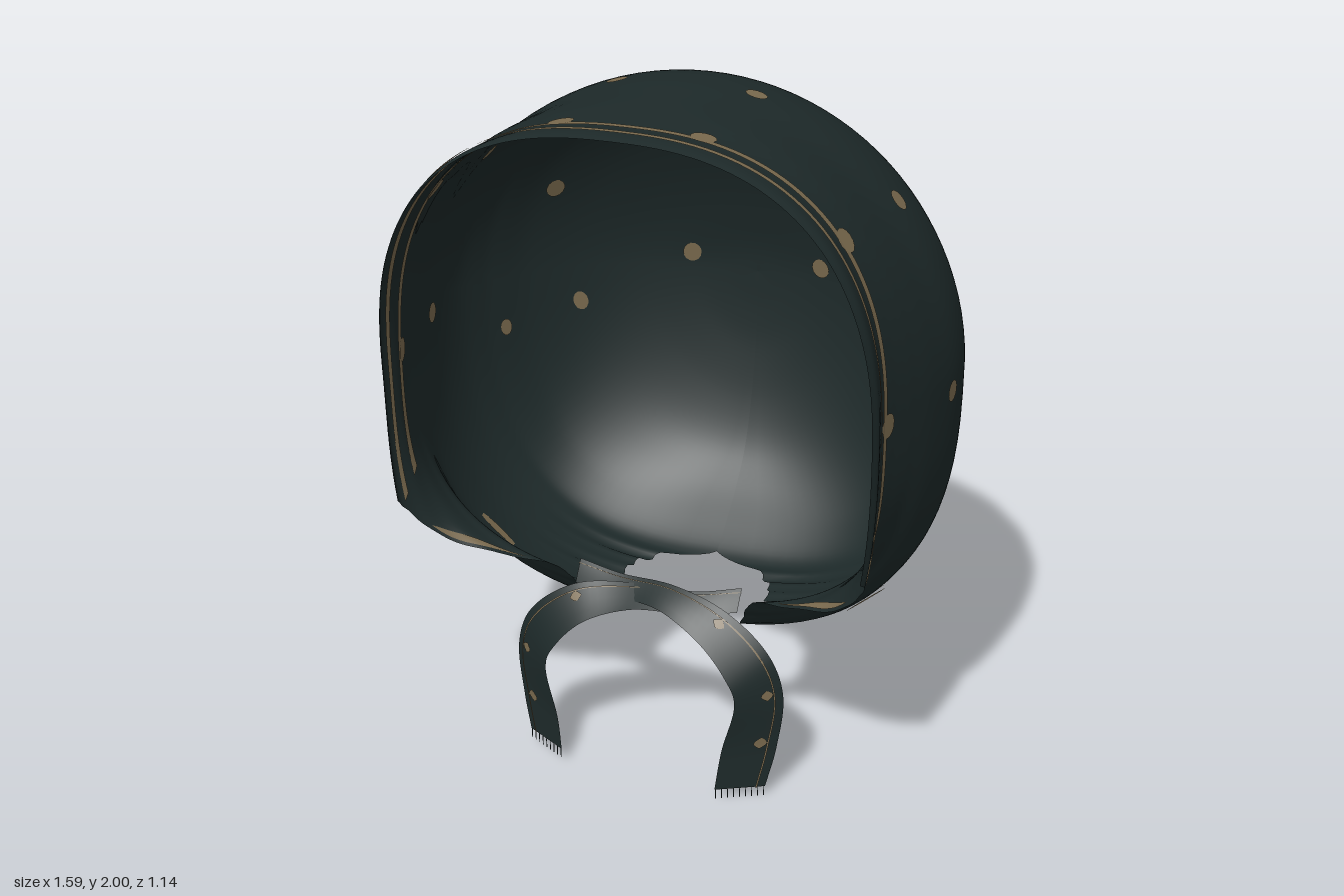
import * as THREE from 'three';

const fabric = new THREE.MeshStandardMaterial({ color: 0x1d2929, side: THREE.DoubleSide });
fabric.name = 'darkGreenFabric';
const gold = new THREE.MeshStandardMaterial({ color: 0x7a6a4e, side: THREE.DoubleSide });
gold.name = 'dullGoldPrint';

// Slices from face rim to back: [z, half width, top, bottom, half gap at the neck]
const SLICES = [
  [0.57, 0.70, 1.98, 0.26, 0.68], [0.54, 0.71, 1.985, 0.27, 0.685], [0.5, 0.705, 1.985, 0.36, 0.66],
  [0.45, 0.70, 1.98, 0.465, 0.6], [0.4, 0.712, 1.98, 0.55, 0.5], [0.35, 0.727, 1.985, 0.57, 0.4],
  [0.3, 0.742, 1.99, 0.565, 0.3], [0.2, 0.768, 1.995, 0.44, 0.23], [0.05, 0.79, 2, 0.41, 0.24],
  [-0.07, 0.782, 1.992, 0.41, 0.22], [-0.16, 0.75, 1.97, 0.415, 0.16], [-0.22, 0.717, 1.94, 0.43, 0],
  [-0.31, 0.655, 1.868, 0.5, 0], [-0.4, 0.562, 1.757, 0.585, 0], [-0.47, 0.458, 1.625, 0.68, 0],
  [-0.52, 0.345, 1.5, 0.81, 0], [-0.555, 0.215, 1.375, 0.97, 0], [-0.57, 0.11, 1.3, 1.1, 0],
  [-0.575, 0, 1.23, 1.23, 0],
];
const smooth = (pts) => new THREE.CatmullRomCurve3(pts, false, 'catmullrom', 0.5);
const sizeCurve = smooth(SLICES.map((s) => new THREE.Vector3(s[1], s[2], s[3])));
const gapCurve = smooth(SLICES.map((s) => new THREE.Vector3(s[0], s[4], 0)));
const POWER = 2.8, MID = 1.23;
const { smoothstep, lerp, degToRad } = THREE.MathUtils;

// Angle, measured from the crown, at which a slice ends
function endAngle(t) {
  const w = sizeCurve.getPoint(t).x;
  const e = Math.max(0, gapCurve.getPoint(t).y);
  if (e < 0.002 || w < 0.01) return Math.PI;
  return Math.PI - Math.asin(Math.min(1, Math.pow(e / w, POWER / 2)));
}

// Point on the cap for slice t and signed angle from the crown
function capPoint(t, angle) {
  const s = sizeCurve.getPoint(t);
  let z = gapCurve.getPoint(t).x;
  const a = Math.abs(angle), c = Math.cos(a), sn = Math.max(0, Math.sin(a));
  // squarer arch at the rim, fuller cheeks below, round at the back
  const upper = 2 / lerp(2, 2.5, smoothstep(z, 0.1, 0.5));
  const lower = 2 / lerp(POWER, 2, smoothstep(-z, 0.3, 0.57));
  const k = c >= 0 ? upper : lower;
  const rise = Math.pow(Math.abs(c), k);
  let x = Math.max(0, s.x) * Math.pow(sn, k);
  let y = c >= 0 ? MID + (s.y - MID) * rise : MID - (MID - s.z) * rise;
  // gathers close to the neck
  const near = smoothstep(a / endAngle(t), 0.78, 1);
  const zone = smoothstep(z, -0.24, -0.1) * (1 - smoothstep(z, 0.2, 0.32));
  const ripple = near * zone * (0.007 * Math.sin(z * 110) + 0.004 * Math.sin(z * 61));
  x += ripple;
  y += ripple;
  // the lower rim sits slightly further back
  z -= 0.03 * smoothstep(z, 0.43, 0.57) * (1 - smoothstep(y, 1.1, 1.7));
  return new THREE.Vector3(x * Math.sign(angle), y, z);
}

function capFrame(t, a) {
  const h = 0.002;
  const along = capPoint(t + h, a).sub(capPoint(t - h, a)).normalize();
  const around = capPoint(t, a + 0.01).sub(capPoint(t, a - 0.01)).normalize();
  const normal = new THREE.Vector3().crossVectors(around, along).normalize();
  around.crossVectors(along, normal);
  return { along, around, normal };
}
const capOffset = (t, a, off) => capPoint(t, a).addScaledVector(capFrame(t, a).normal, off);

// Slice parameter at a given depth
function sliceAt(z) {
  let lo = 0, hi = 1;
  for (let i = 0; i < 30; i++) {
    const m = (lo + hi) / 2;
    if (gapCurve.getPoint(m).x > z) lo = m; else hi = m;
  }
  return lo;
}

// Grid surface from a point rule
function sheet(name, rows, cols, rule, material) {
  const pos = [], index = [];
  for (let i = 0; i <= rows; i++) {
    for (let j = 0; j <= cols; j++) pos.push(...rule(i / rows, j / cols).toArray());
  }
  for (let i = 0; i < rows; i++) {
    for (let j = 0; j < cols; j++) {
      const a = i * (cols + 1) + j, b = a + cols + 1;
      index.push(a, b, a + 1, a + 1, b, b + 1);
    }
  }
  const g = new THREE.BufferGeometry();
  g.setAttribute('position', new THREE.Float32BufferAttribute(pos, 3));
  g.setIndex(index);
  g.computeVertexNormals();
  const mesh = new THREE.Mesh(g, material);
  mesh.name = name;
  return mesh;
}

// Mirrored printed spots on both faces of the cloth
function addSpot(group, z, degrees, ra = 0.031, rb = 0.029) {
  const t = sliceAt(z);
  for (const side of [-1, 1]) {
    const a = side * degToRad(degrees);
    const f = capFrame(t, a);
    for (const off of [-0.005, 0.005]) {
      const spot = new THREE.Mesh(new THREE.CircleGeometry(1, 14), gold);
      spot.name = 'spot';
      const m = new THREE.Matrix4().makeBasis(f.around, f.along, f.normal);
      spot.geometry.scale(ra, rb, 1).applyMatrix4(m);
      spot.position.copy(capPoint(t, a)).addScaledVector(f.normal, off);
      group.add(spot);
    }
  }
}

// Ribbon tie with edge line, spots and fringe
function makeTie(side, endY, lift) {
  const tie = new THREE.Group();
  tie.name = side > 0 ? 'leftTie' : 'rightTie';
  const V = (x, y, z) => new THREE.Vector3(x * side, y, z);
  const path = smooth([V(-0.25, 0.565, 0.27), V(-0.1, 0.55 + lift, 0.3), V(0.05, 0.555 + lift, 0.33),
    V(0.2, 0.52, 0.365), V(0.31, 0.43, 0.385), V(0.352, 0.32, 0.385), V(0.327, 0.16, 0.39), V(0.305, endY, 0.405)]);
  const half = smooth([V(0, 0.03, -0.02), V(-0.01, 0.022, -0.03), V(0.005, 0.022, -0.04),
    V(0.025, 0.04, -0.035), V(0.05, 0.035, -0.035), V(0.06, 0.01, -0.038), V(0.07, 0, -0.038), V(0.065, 0, -0.035)]);
  const at = (t, s) => path.getPoint(t).addScaledVector(half.getPoint(t), s);
  const raised = (t, s, off) => {
    const n = at(Math.min(1, t + 0.01), s).sub(at(Math.max(0, t - 0.01), s)).cross(half.getPoint(t)).normalize();
    return at(t, s).addScaledVector(n, off);
  };
  tie.add(sheet('ribbon', 50, 4, (i, j) => at(i, j * 2 - 1), fabric));
  for (const off of [-0.004, 0.004]) {
    tie.add(sheet('ribbonLine', 50, 1, (i, j) => raised(i, 0.6 + j * 0.07, off), gold));
    for (const t of [0.44, 0.7, 0.84]) {
      tie.add(sheet('ribbonSpot', 6, 1, (i, j) =>
        raised(t + (i - 0.5) * 0.035, 0.35 + (j - 0.5) * 0.5 * Math.sin(Math.PI * i), off), gold));
    }
  }
  for (let i = 0; i < 9; i++) {
    const thread = new THREE.Mesh(new THREE.BoxGeometry(0.002, 0.03, 0.002), fabric);
    thread.name = 'fringeThread';
    thread.position.copy(at(1, -0.95 + i * 0.2375));
    thread.position.y -= 0.015;
    tie.add(thread);
  }
  return tie;
}

export function createModel() {
  const model = new THREE.Group();
  model.name = 'bonnet';

  // Cloth shell, open at the face and neck
  model.add(sheet('capShell', 108, 96, (i, j) => capPoint(i, (j * 2 - 1) * endAngle(i)), fabric));

  // Two printed stripes behind the face rim
  for (const [z0, z1] of [[0.432, 0.457], [0.5, 0.52]]) {
    const t0 = sliceAt(z1), t1 = sliceAt(z0);
    for (const off of [-0.004, 0.004]) {
      model.add(sheet('rimStripe', 2, 90, (i, j) => {
        const t = lerp(t0, t1, i);
        return capOffset(t, (j * 2 - 1) * Math.min(endAngle(t), 1.9), off);
      }, gold));
    }
  }

  // Tapered print along the slanted chin edges
  const c0 = sliceAt(0.46), c1 = sliceAt(0.335);
  for (const side of [-1, 1]) {
    for (const off of [-0.004, 0.004]) {
      model.add(sheet('chinStripe', 16, 2, (i, j) => {
        const t = lerp(c0, c1, i);
        return capOffset(t, side * (endAngle(t) - 0.03 - 0.07 * j * Math.sin(Math.PI * i)), off);
      }, gold));
    }
  }

  // Scattered spots: depth and angle from the crown, then optional radii
  const spots = new THREE.Group();
  spots.name = 'spots';
  [[0.04, 14.7], [0.04, 49.5], [0.09, 90], [-0.35, 19.5], [-0.33, 63], [-0.554, 72], [-0.42, 97, 0.031, 0.023],
    [-0.235, 96, 0.027, 0.02], [0.425, 12, 0.035, 0.034], [0.425, 51, 0.035, 0.034], [0.428, 89, 0.035, 0.03],
    // drawn out within the gathers
    [0.13, 139, 0.075, 0.018]].forEach((s) => addSpot(spots, ...s));
  model.add(spots);

  // Crossed ribbon ties
  model.add(makeTie(1, 0.03, 0.01), makeTie(-1, 0.055, -0.005));
  return model;
}
